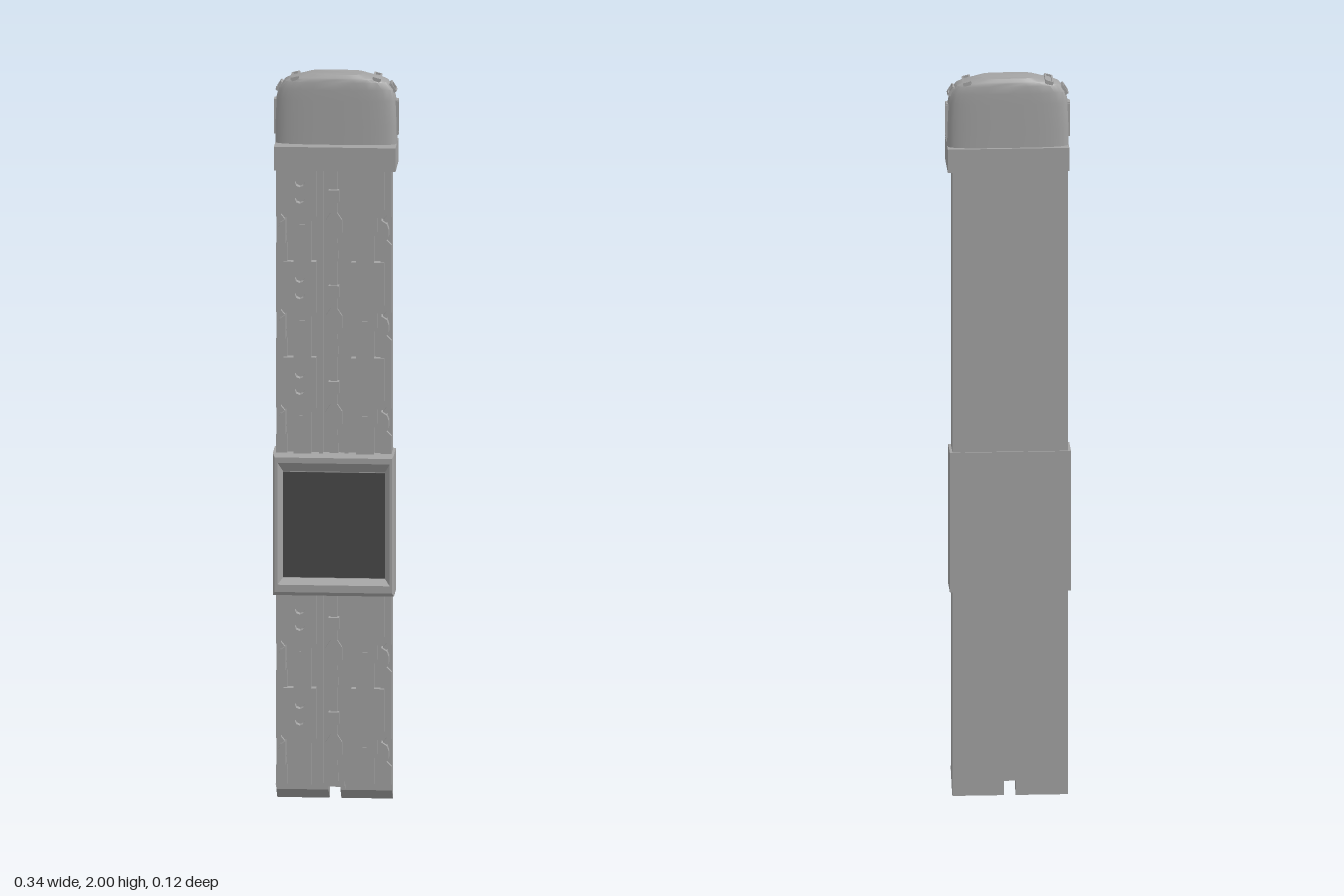
import * as THREE from 'three';
import { toCreasedNormals } from 'three/addons/utils/BufferGeometryUtils.js';

const grey = new THREE.MeshStandardMaterial({ color: 0xa3a3a3 });
grey.name = 'strapGrey';
const dark = new THREE.MeshStandardMaterial({ color: 0x4a4a4a });
dark.name = 'screenDark';

function add(parent, name, geometry, material = grey) {
  const mesh = new THREE.Mesh(geometry, material);
  mesh.name = name;
  parent.add(mesh);
  return mesh;
}

// Box given by its limits on each axis
function box(parent, name, x0, x1, y0, y1, z0, z1, material = grey) {
  const mesh = add(parent, name, new THREE.BoxGeometry(x1 - x0, y1 - y0, z1 - z0), material);
  mesh.position.set((x0 + x1) / 2, (y0 + y1) / 2, (z0 + z1) / 2);
  return mesh;
}

// Flat outline in x and y, raised from z0 to z1
function plate(parent, name, points, z0, z1, holes = []) {
  const shape = new THREE.Shape(points.map(([x, y]) => new THREE.Vector2(x, y)));
  for (const [x, y, r] of holes) shape.holes.push(new THREE.Path().absarc(x, y, r, 0, Math.PI * 2, true));
  const geometry = new THREE.ExtrudeGeometry(shape, { depth: z1 - z0, bevelEnabled: false, curveSegments: 4 });
  geometry.translate(0, 0, z0);
  return add(parent, name, geometry);
}

// Closed skin over a stack of counter-clockwise rings
function loft(rings) {
  const out = [];
  const tri = (...corners) => corners.forEach((p) => out.push(...p));
  const n = rings[0].length;
  for (let i = 0; i < rings.length - 1; i++) {
    for (let j = 0; j < n; j++) {
      const k = (j + 1) % n;
      tri(rings[i][j], rings[i][k], rings[i + 1][k]);
      tri(rings[i][j], rings[i + 1][k], rings[i + 1][j]);
    }
  }
  const last = rings[rings.length - 1];
  for (let j = 1; j < n - 1; j++) {
    tri(rings[0][0], rings[0][j + 1], rings[0][j]);
    tri(last[0], last[j], last[j + 1]);
  }
  const geometry = new THREE.BufferGeometry();
  geometry.setAttribute('position', new THREE.Float32BufferAttribute(out, 3));
  geometry.computeVertexNormals();
  return geometry;
}

const CENTRE = -0.005;

// Strap body: side profile in z and y swept across x, with a cut lower end
function buildStrap(group) {
  const slab = (x0, x1, bottom) => {
    const shape = new THREE.Shape();
    if (bottom > 0) {
      shape.moveTo(0.05, bottom).lineTo(0.05, 1.76).lineTo(-0.008, 1.76).lineTo(-0.008, bottom);
    } else {
      shape.moveTo(0.05, 0).lineTo(0.05, 1.76).lineTo(-0.008, 1.76).lineTo(-0.008, 0.032).lineTo(0.034, 0);
    }
    const geometry = new THREE.ExtrudeGeometry(shape, { depth: x1 - x0, bevelEnabled: false });
    geometry.rotateY(Math.PI / 2);
    geometry.translate(x0, 0, 0);
    add(group, 'strapBody', geometry);
  };
  slab(-0.16, -0.02, 0);
  slab(-0.02, 0.012, 0.04);
  slab(0.012, 0.15, 0);
}

// One repeat of the relief, hanging down from y = top
function buildLink(group, top, length) {
  const link = new THREE.Group();
  link.name = 'strapLink';
  link.position.set(CENTRE, top, 0);
  group.add(link);
  for (const s of [-1, 1]) {
    const mirror = (points) => points.map(([x, y]) => [s * x, y]);
    // Drilled panel narrowing to a tongue
    plate(link, 'drilledPanel', mirror([
      [0.047, 0], [0.135, 0], [0.135, -0.12], [0.118, -0.14], [0.118, -0.18],
      [0.108, -0.19], [0.108, -length], [0.06, -length], [0.06, -0.15], [0.047, -0.14],
    ]), -0.008, 0.03, [[s * 0.091, -0.045, 0.013], [s * 0.091, -0.09, 0.013]]);
    box(link, 'tongueRib', s * 0.084 - 0.007, s * 0.084 + 0.007, -length + 0.01, -0.16, 0.03, 0.034);
    // Outer rail with a scooped gap
    plate(link, 'edgeRail', mirror([
      [0.142, 0], [0.155, 0], [0.155, -0.14], [0.14, -0.155], [0.14, -0.2],
      [0.155, -0.215], [0.155, -length], [0.125, -length], [0.125, -0.225], [0.13, -0.15], [0.142, -0.135],
    ]), -0.008, 0.022);
    plate(link, 'edgeClip', mirror([
      [0.128, -0.145], [0.143, -0.155], [0.148, -0.17], [0.148, -0.19], [0.138, -0.205], [0.128, -0.21],
    ]), 0, 0.036);
    // Rails beside the middle channel
    box(link, 'channelRail', s * 0.034 - 0.005, s * 0.034 + 0.005, -length, 0, -0.008, 0.024);
  }
  // Middle spine with its stud and swelling
  plate(link, 'spine', [
    [-0.009, 0], [-0.009, -0.13], [-0.022, -0.15], [-0.022, -0.185], [-0.01, -0.2], [-0.012, -length],
    [0.012, -length], [0.01, -0.2], [0.022, -0.185], [0.022, -0.15], [0.009, -0.13], [0.009, 0],
  ], -0.008, 0.018);
  box(link, 'spineStud', -0.014, 0.014, -0.1, -0.066, 0, 0.028);
}

// Slanted fill under the lowest link, continuing the cut end
function buildTip(group) {
  for (const [x0, x1] of [[-0.16, -0.035], [0.025, 0.15]]) {
    const ring = (x) => [[x, 0.062, 0.03], [x, 0.05, 0.034], [x, 0.025, -0.01], [x, 0.062, -0.01]];
    add(group, 'strapTip', loft([ring(x0).reverse(), ring(x1).reverse()]));
  }
}

// Display case with a recessed, bevelled window
function buildCase(group) {
  const ring = (x0, x1, y0, y1, z) => [[x0, y0, z], [x1, y0, z], [x1, y1, z], [x0, y1, z]];
  add(group, 'displayCase', loft([
    ring(-0.168, 0.157, 0.57, 0.96, -0.054),
    ring(-0.168, 0.157, 0.57, 0.96, 0.03),
    ring(-0.163, 0.152, 0.58, 0.95, 0.037),
    ring(-0.155, 0.146, 0.6, 0.935, 0.037),
    ring(-0.142, 0.132, 0.615, 0.908, 0.015),
  ]));
  box(group, 'screen', -0.142, 0.132, 0.617, 0.906, 0.014, 0.018, dark);
}

// Rounded end cap with grip slots on its shoulders
function buildCap(group) {
  const ring = ([y, w, d]) => Array.from({ length: 32 }, (_, i) => {
    const a = (i / 32) * Math.PI * 2;
    const c = Math.cos(a), s = Math.sin(a);
    return [w * Math.sign(c) * Math.abs(c) ** 0.6, y, -0.013 - d * Math.sign(s) * Math.abs(s) ** 0.45];
  });
  const levels = [
    [1.79, 0.164, 0.042], [1.86, 0.164, 0.042], [1.93, 0.161, 0.042], [1.96, 0.154, 0.042],
    [1.98, 0.138, 0.041], [1.988, 0.12, 0.039], [1.992, 0.1, 0.037], [2, 0.072, 0.031],
  ];
  add(group, 'endCap', toCreasedNormals(loft(levels.map(ring)), 0.5));
  for (const s of [-1, 1]) {
    // Open rectangular grip on a shoulder
    const grip = (name, x, y, tilt, w, d) => {
      const holder = new THREE.Group();
      holder.name = name;
      holder.position.set(s * x, y, -0.014);
      holder.rotation.z = -s * tilt;
      group.add(holder);
      for (const e of [-1, 1]) {
        box(holder, 'gripSide', e * w - 0.0025, e * w + 0.0025, -0.006, 0.004, -d, d);
        box(holder, 'gripEnd', -w, w, -0.006, 0.004, e * d - 0.0025, e * d + 0.0025);
      }
    };
    grip('topGrip', 0.11, 1.989, 0.25, 0.009, 0.032);
    grip('cornerGrip', 0.152, 1.963, 1.0, 0.011, 0.018);
    grip('sideGrip', 0.163, 1.88, 1.57, 0.045, 0.015);
  }
}

export function createModel() {
  const group = new THREE.Group();
  group.name = 'strapWithDisplay';
  buildStrap(group);
  for (const [top, length] of [[1.75, 0.263], [1.487, 0.263], [1.224, 0.27], [0.575, 0.26], [0.315, 0.265]]) {
    buildLink(group, top, length);
  }
  buildTip(group);
  buildCase(group);
  box(group, 'keeperLoop', -0.163, 0.163, 1.745, 1.81, -0.063, 0.062);
  buildCap(group);
  return group;
}
